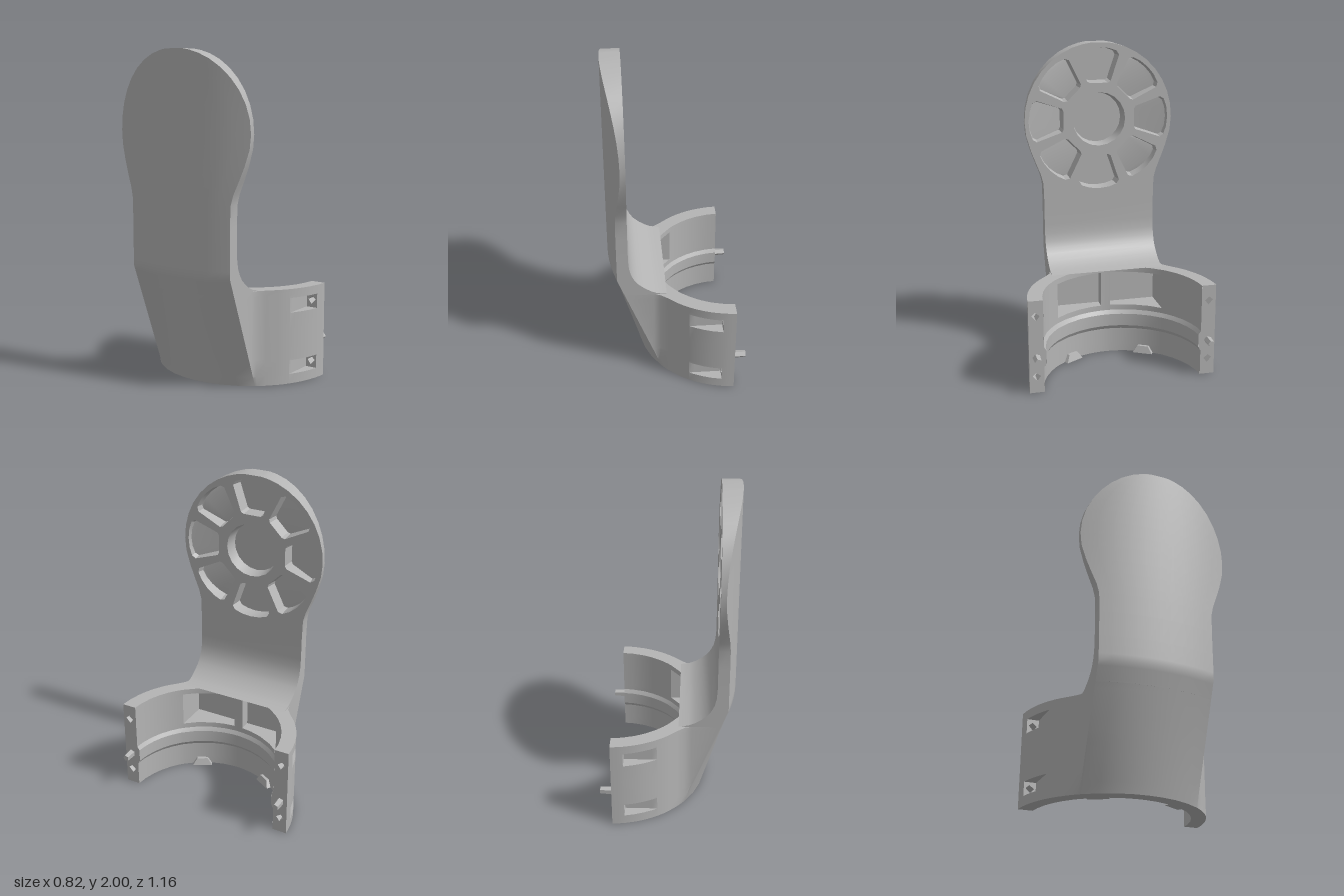
import * as THREE from 'three';
import { toCreasedNormals } from 'three/addons/utils/BufferGeometryUtils.js';

const V = (x, y, z) => new THREE.Vector3(x, y, z);

// Collects triangles and turns them into a creased mesh
class Surface {
  constructor() { this.pos = []; }
  tri(a, b, c, n) {
    const m = b.clone().sub(a).cross(c.clone().sub(a));
    if (m.length() < 1e-9) return;
    const order = n && m.dot(n) < 0 ? [a, c, b] : [a, b, c];
    for (const p of order) this.pos.push(p.x, p.y, p.z);
  }
  quad(a, b, c, d) { this.tri(a, b, c); this.tri(a, c, d); }
  // flat or curved sheet from a 2D contour with holes
  sheet(contour, holes, place, normal) {
    const all = [contour, ...holes].flat();
    for (const f of THREE.ShapeUtils.triangulateShape(contour, holes)) {
      this.tri(...f.map(i => place(all[i])), normal);
    }
  }
  // closed sections joined from the bottom up
  loft(sections, skip) {
    for (let k = 0; k < sections.length - 1; k++) {
      const lo = sections[k], hi = sections[k + 1], n = lo.length;
      for (let i = 0; i < n; i++) {
        const j = (i + 1) % n;
        if (!skip(i, k)) this.quad(lo[i], lo[j], hi[j], hi[i]);
      }
    }
  }
  mesh(name, material) {
    const g = new THREE.BufferGeometry();
    g.setAttribute('position', new THREE.Float32BufferAttribute(this.pos, 3));
    const m = new THREE.Mesh(toCreasedNormals(g, 0.5), material);
    m.name = name;
    return m;
  }
}

const CX = 0.36, RO = 0.58, END = 0.34, FRONT = -0.29, HUB_Y = 1.52;
const arcX = (r, z) => CX - Math.sqrt(r * r - z * z);
// rear skin: ring curve at the foot blending into the shallow arc of the arm
const backX = (y, z) => THREE.MathUtils.lerp(arcX(RO, z), -0.41 + z * z / 2.54, Math.min(y / 0.7, 1));
const P2 = (x, y) => new THREE.Vector2(x, y);
const rad = THREE.MathUtils.degToRad;

function buildClamp(material) {
  // y, inner radius, window pocket, side slot
  const levels = [
    [0, 0.49, 0, 0], [0.06, 0.49, 0, 0], [0.06, 0.49, 0, 1], [0.145, 0.49, 0, 1], [0.145, 0.49, 0, 0],
    [0.16, 0.49, 0, 0], [0.185, 0.475, 0, 0], [0.265, 0.475, 0, 0], [0.29, 0.49, 0, 0],
    [0.325, 0.49, 0, 0], [0.325, 0.49, 1, 0], [0.44, 0.49, 1, 0], [0.44, 0.49, 1, 1],
    [0.53, 0.49, 1, 1], [0.53, 0.49, 1, 0], [0.55, 0.49, 1, 0], [0.55, 0.49, 0, 0], [0.585, 0.49, 0, 0],
  ];
  const outerZ = x => Math.sqrt(RO * RO - (CX - x) ** 2);
  const slotX = 0.265, slotZ = 0.5;
  const section = ([y, r, pocket, slot]) => {
    const half = [];
    for (const z of [0, 0.09, 0.18, 0.27, 0.36]) half.push(V(backX(y, z), y, z));
    for (const [x, z] of [[-0.14, 0.36], [-0.1, 0.37], [-0.055, 0.405]]) half.push(V(Math.max(x, backX(y, z)), y, z));
    for (const x of [0, 0.03, 0.066, 0.1, 0.15, 0.2, slotX]) {
      half.push(V(x, y, slot ? Math.min(outerZ(x), slotZ) : outerZ(x)));
    }
    for (const x of [slotX, 0.3, END]) half.push(V(x, y, outerZ(x)));
    half.push(V(END, y, Math.sqrt(r * r - (CX - END) ** 2)));
    for (const a of [80, 71, 63, 55, 48].map(rad)) half.push(V(CX - r * Math.cos(a), y, r * Math.sin(a)));
    half.push(V(arcX(r, 0.34), y, 0.34));
    for (const z of [0.34, 0.27, 0.18, 0.1, 0.03]) half.push(V(pocket ? -0.2 : arcX(r, z), y, z));
    for (const z of [0.03, 0]) half.push(V(arcX(r, z), y, z));
    return [...half, ...half.map(p => V(p.x, y, -p.z)).reverse()];
  };
  const s = new Surface();
  const sections = levels.map(section), n = sections[0].length;
  const is = (i, j) => i === j || i === n - 2 - j;
  s.loft(sections, (i, k) => is(i, 17) || (is(i, 14) && levels[k][3] && levels[k + 1][3]));
  for (const [sec, dir] of [[sections[0], -1], [sections.at(-1), 1]]) {
    s.sheet(sec.map(p => P2(p.x, p.z)), [], p => V(p.x, sec[0].y, p.y), V(0, dir, 0));
  }
  // end faces with screw holes running through to the side slots
  const hole = y => [[0.026, 0.006], [0.004, 0.026], [-0.024, 0.004], [-0.002, -0.026]].map(([a, b]) => P2(0.535 + a, y + b));
  const rim = [P2(outerZ(END), 0), P2(outerZ(END), 0.585),
    ...[[0.585, 0.49], [0.29, 0.49], [0.265, 0.475], [0.185, 0.475], [0.16, 0.49], [0, 0.49]].map(([y, r]) => P2(r, y))];
  for (const side of [1, -1]) {
    const at = x => p => V(x, p.y, side * p.x);
    s.sheet(rim, [hole(0.1025), hole(0.485)], at(END), V(1, 0, 0));
    for (const [y0, y1] of [[0.06, 0.145], [0.44, 0.53]]) {
      const h = hole((y0 + y1) / 2), z1 = outerZ(slotX);
      s.sheet([P2(slotZ, y0), P2(z1, y0), P2(z1, y1), P2(slotZ, y1)], [h], at(slotX), V(-1, 0, 0));
      h.forEach((p, i) => {
        const q = h[(i + 1) % 4], c = [at(slotX)(p), at(END)(p), at(END)(q), at(slotX)(q)];
        s.quad(...(side > 0 ? c.reverse() : c));
      });
    }
  }
  return s.mesh('clampRing', material);
}

function buildArm(material) {
  // y, half width, front x: fillet, neck and round head
  const rows = [
    [0.585, 0.36, -0.06], [0.595, 0.36, -0.12], [0.61, 0.36, -0.155], [0.635, 0.36, -0.195], [0.67, 0.36, -0.235],
    [0.7, 0.36, -0.256], [0.74, 0.36, -0.275], [0.79, 0.36, -0.286], [0.85, 0.36, FRONT],
    [1, 0.36, FRONT], [1.12, 0.363, FRONT], [1.18, 0.378, FRONT], [1.26, 0.41, FRONT],
  ];
  for (const a of [-22, -10, 0, 10, 20, 30, 40, 50, 60, 69, 77, 83]) {
    rows.push([HUB_Y + 0.48 * Math.sin(rad(a)), 0.474 * Math.cos(rad(a)), FRONT]);
  }
  const sections = rows.map(([y, w, xf]) => {
    const pts = [];
    for (let i = -5; i <= 5; i++) pts.push(V(backX(y, w * i / 5), y, w * i / 5));
    return [...pts, V(xf, y, w), V(xf, y, -w)];
  });
  const s = new Surface();
  s.loft(sections, (i, k) => i === 11 && rows[k][0] >= 1);
  const top = sections.at(-1);
  s.sheet(top.map(p => P2(p.x, p.z)), [], p => V(p.x, top[0].y, p.y), V(0, 1, 0));

  // head face: round hub recess and eight wedge recesses
  const polar = (r, a) => P2(r * Math.cos(rad(a)), HUB_Y + r * Math.sin(rad(a)));
  const holes = [Array.from({ length: 20 }, (_, i) => polar(0.17, i * 18))];
  for (let k = 0; k < 8; k++) {
    const c = k * 45;
    const w = [[0.235, 14], [0.25, 17.5], [0.42, 18], [0.44, 15], [0.447, 8], [0.449, 0]];
    const other = w.slice(0, 5).reverse().map(([r, a]) => polar(r, c - a));
    holes.push([...w.map(([r, a]) => polar(r, c + a)), ...other]);
  }
  const head = rows.filter(r => r[0] >= 1);
  const outline = [...head.map(([y, w]) => P2(w, y)), ...head.map(([y, w]) => P2(-w, y)).reverse()];
  const face = p => V(FRONT, p.y, p.x);
  const floor = p => V(Math.max(-0.37, backX(p.y, p.x) + 0.018), p.y, p.x);
  // copies, since triangulation may reorder its input
  s.sheet(outline, holes.map(h => h.map(p => p.clone())), face, V(1, 0, 0));
  for (const h of holes) {
    const mid = h.reduce((a, p) => a.add(p), P2(0, 0)).divideScalar(h.length);
    const low = h.map(p => p.clone().lerp(mid, 0.07));
    s.sheet(low, [], floor, V(1, 0, 0));
    h.forEach((p, i) => {
      const j = (i + 1) % h.length;
      const c = [face(p), face(h[j]), floor(low[j]), floor(low[i])];
      // walls face the middle of the recess
      const inward = V(0, mid.y - (p.y + h[j].y) / 2, mid.x - (p.x + h[j].x) / 2);
      s.tri(c[0], c[1], c[2], inward);
      s.tri(c[0], c[2], c[3], inward);
    });
  }
  return s.mesh('arm', material);
}

export function createModel() {
  const group = new THREE.Group();
  group.name = 'clampBracket';
  const grey = new THREE.MeshStandardMaterial({ color: 0xb4b4b4, side: THREE.DoubleSide });
  grey.name = 'plainGrey';
  group.add(buildClamp(grey), buildArm(grey));

  for (const side of [1, -1]) {
    // locating pin on the end face
    const pin = new THREE.Mesh(toCreasedNormals(new THREE.CylinderGeometry(0.021, 0.026, 0.09, 5), 0.5), grey);
    pin.name = 'locatingPin';
    pin.rotation.z = -Math.PI / 2;
    pin.position.set(0.365, 0.227, side * 0.535);
    // small wedge stop at the foot of the inner wall
    const wedge = new THREE.CylinderGeometry(0.05, 0.09, 0.045, 4).rotateY(Math.PI / 4).scale(0.5, 1, 1);
    const stop = new THREE.Mesh(toCreasedNormals(wedge, 0.5), grey);
    stop.name = 'footStop';
    const a = rad(29.5);
    stop.position.set(CX - 0.487 * Math.cos(a), 0.0235, side * 0.487 * Math.sin(a));
    stop.rotation.y = side * a;
    group.add(pin, stop);
  }
  return group;
}
